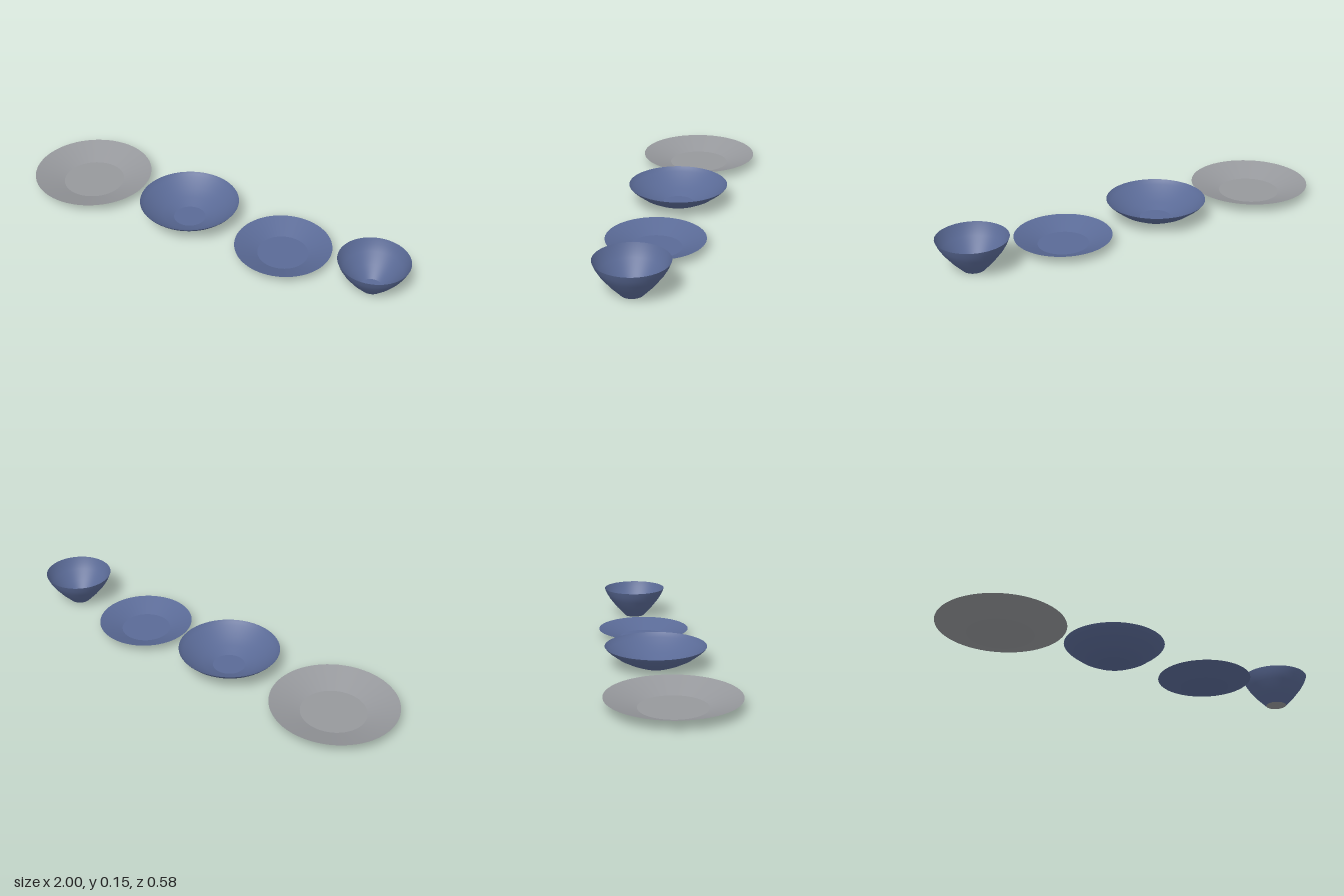
import * as THREE from 'three';

const blue = new THREE.MeshStandardMaterial({ color: 0x5a6a96, side: THREE.DoubleSide });
blue.name = 'blueGlaze';
const grey = new THREE.MeshStandardMaterial({ color: 0x96989c, side: THREE.DoubleSide });
grey.name = 'greyGlaze';
const SEGMENTS = 64;

// Thin dish: smooth turned wall plus a flat floor, with a crisp edge between them
function makeDish(name, x, wallPoints, material) {
  const dish = new THREE.Group();
  dish.name = name;
  dish.position.x = x;
  const profile = wallPoints.map(([r, y]) => new THREE.Vector2(r, y));
  const wall = new THREE.Mesh(new THREE.LatheGeometry(profile, SEGMENTS), material);
  wall.name = name + 'Wall';
  const floor = new THREE.Mesh(new THREE.CircleGeometry(wallPoints[0][0], SEGMENTS), material);
  floor.name = name + 'Floor';
  floor.rotation.x = -Math.PI / 2;
  dish.add(wall, floor);
  return dish;
}

export function createModel() {
  const model = new THREE.Group();
  model.name = 'dinnerware';

  // Wide shallow dishes with straight sloping rims
  model.add(makeDish('dinnerPlate', -0.709, [[0.15, 0], [0.291, 0.048]], grey));
  model.add(makeDish('saucer', 0.388, [[0.118, 0], [0.226, 0.043]], blue));

  // Curved bowl
  model.add(makeDish('bowl', -0.128,
    [[0.076, 0], [0.127, 0.02], [0.174, 0.044], [0.217, 0.076], [0.231, 0.089], [0.237, 0.097]], blue));

  // Deep cup with a bare grey base
  const cup = makeDish('cup', 0.838,
    [[0.05, 0], [0.095, 0.047], [0.133, 0.095], [0.151, 0.125], [0.162, 0.152]], blue);
  cup.getObjectByName('cupFloor').position.y = 0.003;
  const base = new THREE.Mesh(new THREE.CircleGeometry(0.05, SEGMENTS), grey);
  base.name = 'cupBase';
  base.rotation.x = Math.PI / 2;
  cup.add(base);
  model.add(cup);

  return model;
}
